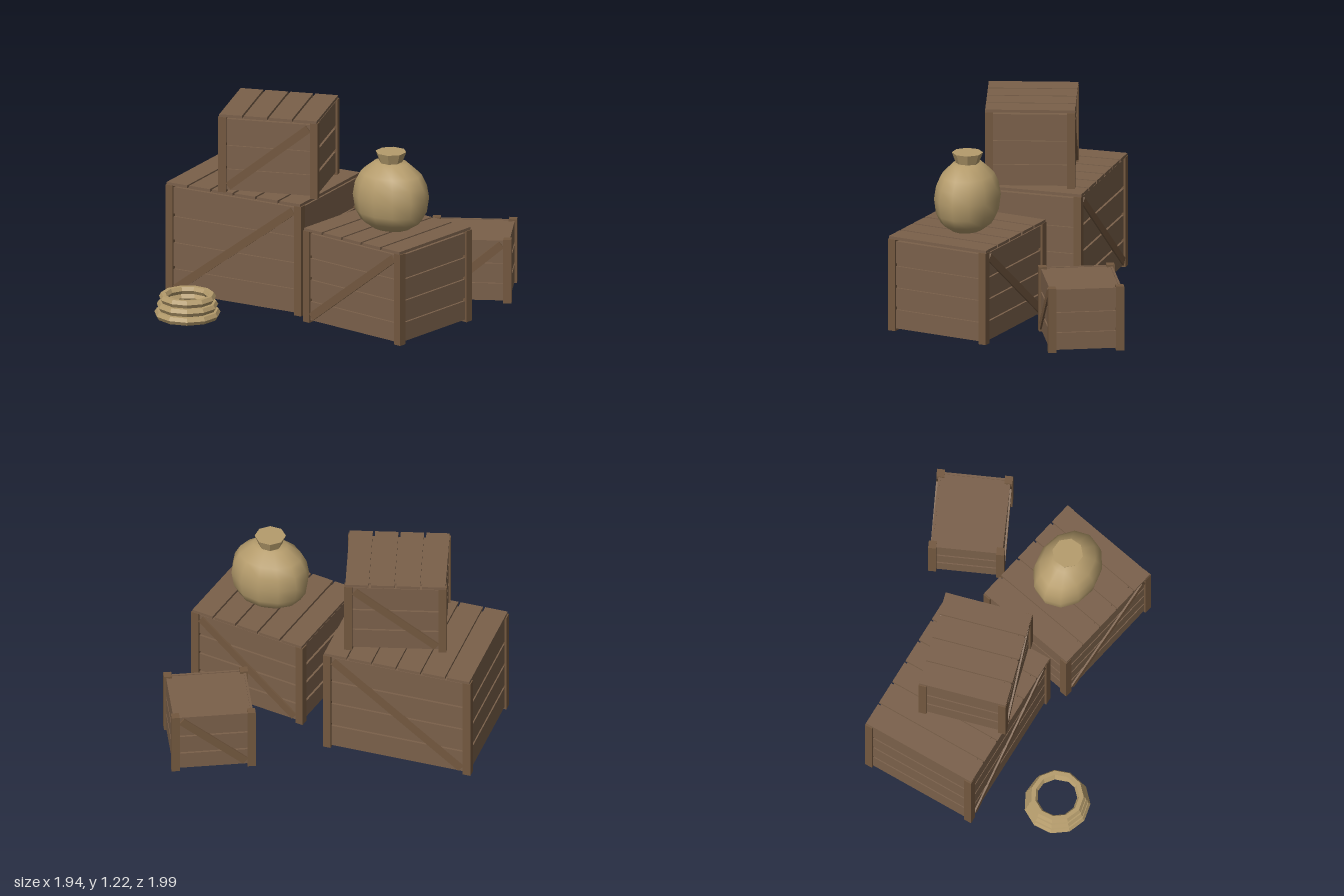
import * as THREE from 'three';

const boardWood = new THREE.MeshStandardMaterial({ color: 0x7a604a });
boardWood.name = 'boardWood';
const frameWood = new THREE.MeshStandardMaterial({ color: 0x73583f });
frameWood.name = 'frameWood';
const burlap = new THREE.MeshStandardMaterial({ color: 0xb59c6c });
burlap.name = 'burlap';
const rope = new THREE.MeshStandardMaterial({ color: 0xb59c6c, flatShading: true });
rope.name = 'rope';

function box(parent, name, material, size, pos) {
  const mesh = new THREE.Mesh(new THREE.BoxGeometry(...size), material);
  mesh.name = name;
  mesh.position.set(...pos);
  parent.add(mesh);
  return mesh;
}

// Slatted crate: core, side boards, corner posts, diagonal braces, optional lid boards
function makeCrate({ name, w, h, d, rows, lid, x, y, z, turn }) {
  const crate = new THREE.Group();
  crate.name = name;
  crate.position.set(x, y, z);
  crate.rotation.y = turn;

  const post = 0.05, inset = 0.013, thick = 0.014, gap = 0.02;
  const low = 0.015;
  const high = lid ? h - 0.03 : h - 0.01;
  const postTop = lid ? h - 0.017 : h;
  const deep = inset + thick;

  const coreTop = high - (lid ? 0 : 0.005);
  box(crate, 'core', boardWood, [w - 2 * deep, coreTop - low, d - 2 * deep], [0, (coreTop + low) / 2, 0]);

  // Side boards
  const pitch = (high - low) / rows;
  for (let i = 0; i < rows; i++) {
    const bottom = low + i * pitch;
    const tall = pitch - (i < rows - 1 ? gap : 0);
    const cy = bottom + tall / 2;
    for (const s of [-1, 1]) {
      box(crate, 'sideBoard', boardWood, [w - post, tall, thick], [0, cy, s * (d / 2 - inset - thick / 2)]);
      box(crate, 'sideBoard', boardWood, [thick, tall, d - post], [s * (w / 2 - inset - thick / 2), cy, 0]);
    }
  }

  // Corner posts
  for (const sx of [-1, 1]) for (const sz of [-1, 1]) {
    box(crate, 'cornerPost', frameWood, [post, postTop, post],
      [sx * (w - post) / 2, postTop / 2, sz * (d - post) / 2]);
  }

  // Diagonal braces on front and back
  const runX = w - 2 * post, runY = high - low;
  const length = Math.hypot(runX, runY) - 0.05;
  for (const s of [-1, 1]) {
    const brace = box(crate, 'brace', frameWood, [length, 0.05, 0.014],
      [0, (high + low) / 2, s * (d / 2 - 0.009)]);
    brace.rotation.z = Math.atan2(runY - 0.03, runX);
  }

  // Lid boards
  const step = w / Math.max(lid, 1);
  for (let i = 0; i < lid; i++) {
    box(crate, 'lidBoard', boardWood, [step - 0.014, 0.018, d - 0.004],
      [-w / 2 + (i + 0.5) * step, h - 0.009, 0]);
  }
  if (lid) box(crate, 'lidBacking', boardWood, [w - 2 * post, 0.014, d - 2 * post], [0, h - 0.023, 0]);
  return crate;
}

// Tied sack: squashed round body and flared octagonal neck
function makeSack() {
  const sack = new THREE.Group();
  sack.name = 'sack';
  sack.position.set(0.55, 0.6, 0.12);
  const profile = [[0, 0], [0.12, 0.005], [0.2, 0.055], [0.235, 0.115], [0.25, 0.21],
    [0.235, 0.29], [0.2, 0.355], [0.11, 0.425], [0, 0.435]].map(p => new THREE.Vector2(...p));
  const body = new THREE.Mesh(new THREE.LatheGeometry(profile, 12), burlap);
  body.name = 'sackBody';
  body.scale.z = 0.79;
  sack.add(body);
  const neck = new THREE.Mesh(new THREE.CylinderGeometry(0.096, 0.068, 0.075, 8), rope);
  neck.name = 'sackNeck';
  neck.position.y = 0.455;
  neck.rotation.y = Math.PI / 8;
  sack.add(neck);
  return sack;
}

// Coiled rope: three stacked faceted rings, narrowing upward
function makeRopeCoil() {
  const coil = new THREE.Group();
  coil.name = 'ropeCoil';
  coil.position.set(-0.505, 0, 0.79);
  [0.178, 0.164, 0.15].forEach((radius, i) => {
    const ring = new THREE.Mesh(new THREE.TorusGeometry(radius, 0.027, 6, 11), rope);
    ring.name = 'ropeRing';
    ring.rotation.set(Math.PI / 2, 0, Math.PI / 2);
    ring.position.y = 0.043 + i * 0.051;
    coil.add(ring);
  });
  return coil;
}

export function createModel() {
  const model = new THREE.Group();
  model.name = 'cratePile';
  model.add(
    makeCrate({ name: 'largeCrate', w: 0.953, h: 0.72, d: 0.757, rows: 4, lid: 6, x: -0.465, y: 0, z: 0.013, turn: 0.08 }),
    makeCrate({ name: 'upperCrate', w: 0.63, h: 0.5, d: 0.555, rows: 3, lid: 4, x: -0.327, y: 0.72, z: 0.05, turn: 0.35 }),
    makeCrate({ name: 'mediumCrate', w: 0.782, h: 0.602, d: 0.682, rows: 4, lid: 5, x: 0.53, y: 0, z: 0.13, turn: -0.11 }),
    makeCrate({ name: 'smallCrate', w: 0.52, h: 0.41, d: 0.47, rows: 3, lid: 0, x: 0.625, y: 0, z: -0.664, turn: 0.51 }),
    makeSack(),
    makeRopeCoil(),
  );
  return model;
}
